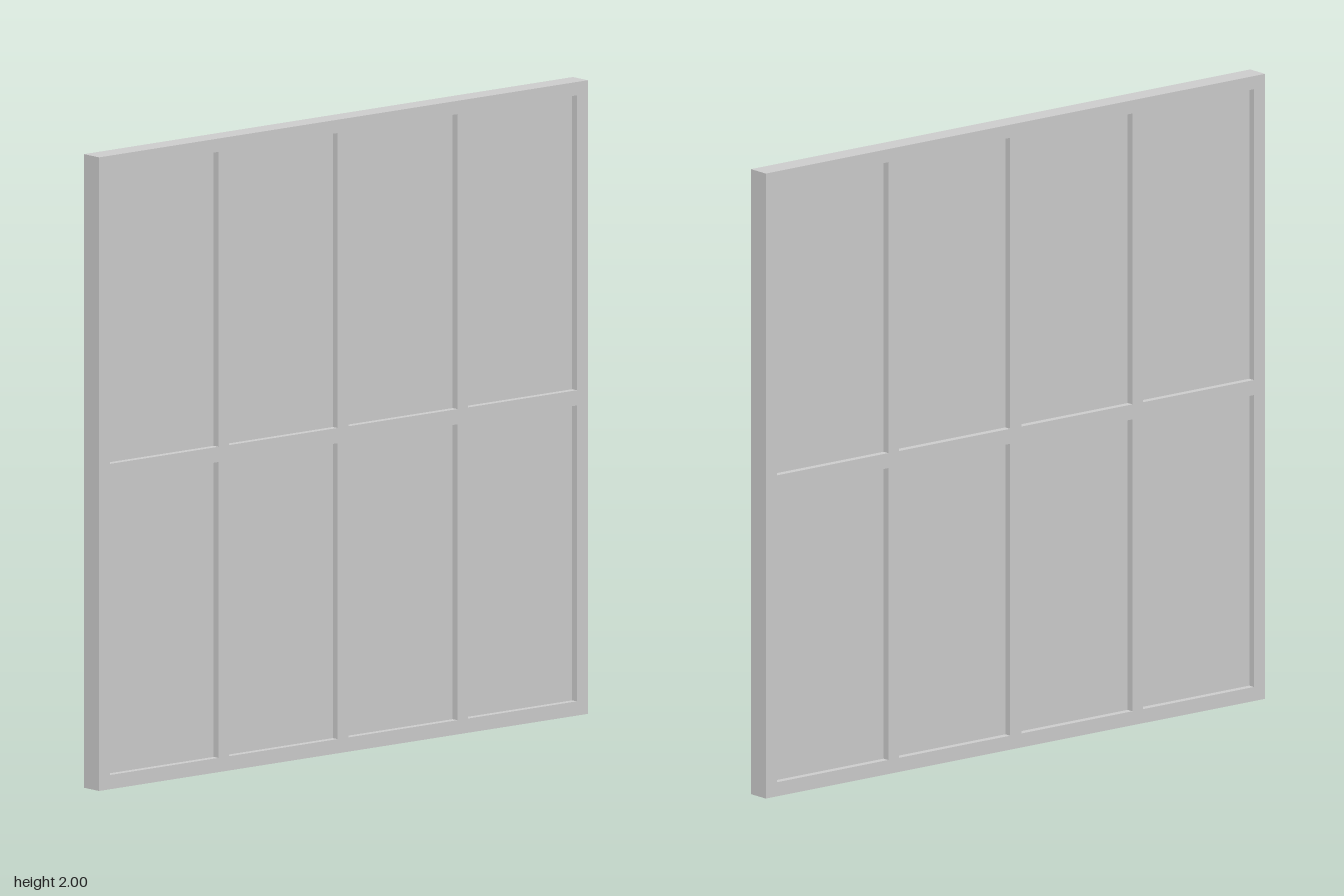
import * as THREE from 'three';

const DEPTH = 0.072, PANE_DEPTH = 0.026;
const COLUMNS = [[-0.956, -0.512], [-0.469, -0.024], [0.021, 0.466], [0.509, 0.955]];
const ROWS = [[0.045, 0.979], [1.027, 1.958]];

export function createModel() {
  const model = new THREE.Group();
  model.name = 'window';
  const material = new THREE.MeshStandardMaterial({ color: 0xcccccc });

  // Frame with its glazing bars: one square slab pierced by eight openings
  const outline = new THREE.Shape([
    new THREE.Vector2(-1, 0), new THREE.Vector2(1, 0),
    new THREE.Vector2(1, 2), new THREE.Vector2(-1, 2),
  ]);

  ROWS.forEach(([y0, y1], row) => {
    COLUMNS.forEach(([x0, x1], column) => {
      outline.holes.push(new THREE.Path([
        new THREE.Vector2(x0, y0), new THREE.Vector2(x0, y1),
        new THREE.Vector2(x1, y1), new THREE.Vector2(x1, y0),
      ]));

      // Pane recessed equally from the front and back faces
      const pane = new THREE.Mesh(new THREE.BoxGeometry(x1 - x0, y1 - y0, PANE_DEPTH), material);
      pane.name = `pane${row + 1}-${column + 1}`;
      pane.position.set((x0 + x1) / 2, (y0 + y1) / 2, 0);
      model.add(pane);
    });
  });

  const geometry = new THREE.ExtrudeGeometry(outline, { depth: DEPTH, bevelEnabled: false });
  geometry.translate(0, 0, -DEPTH / 2);
  const frame = new THREE.Mesh(geometry, material);
  frame.name = 'frame';
  model.add(frame);

  return model;
}
